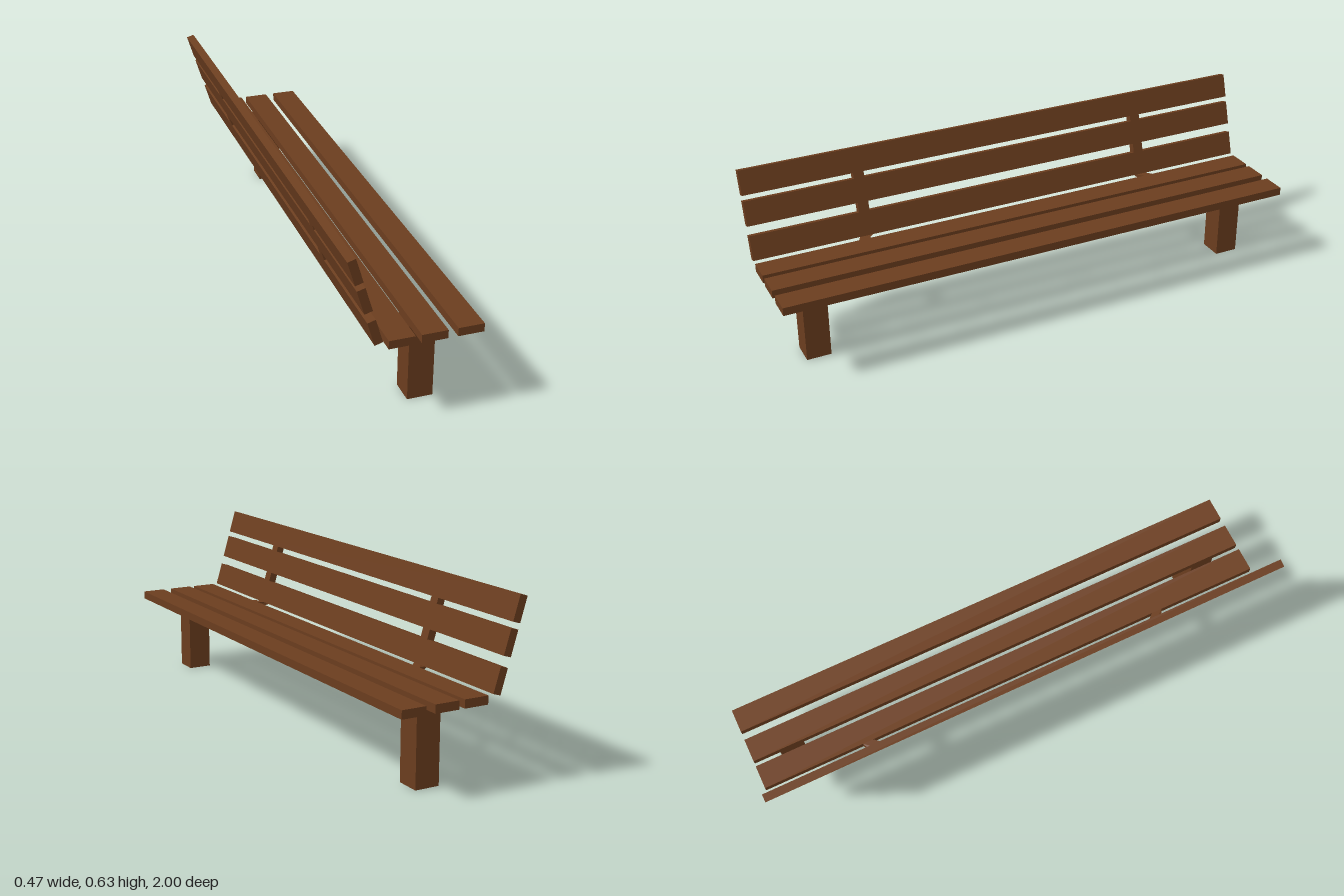
import * as THREE from 'three';

const wood = new THREE.MeshStandardMaterial({ color: 0x6b3d1e, flatShading: true });

// Extrudes an x-y cross-section (counter-clockwise corners) from z0 to z1.
function plank(name, corners, z0, z1) {
  const shape = new THREE.Shape(corners.map(([x, y]) => new THREE.Vector2(x, y)));
  const geo = new THREE.ExtrudeGeometry(shape, { depth: z1 - z0, bevelEnabled: false });
  geo.translate(0, 0, z0);
  const mesh = new THREE.Mesh(geo, wood);
  mesh.name = name;
  return mesh;
}

const rect = (x0, y0, x1, y1) => [[x0, y0], [x1, y0], [x1, y1], [x0, y1]];

// Cross-section of the leaning backrest between distances a and b up its slope.
function leaning(a, b) {
  const ux = -0.286, uy = 0.958, thick = 0.029;
  const rear = (s) => [-0.14 + ux * s, 0.305 + uy * s];
  const face = (s) => [rear(s)[0] + uy * thick, rear(s)[1] - ux * thick];
  return [rear(a), face(a), face(b), rear(b)];
}

export function createModel() {
  const bench = new THREE.Group();
  bench.name = 'bench';

  // Seat slats
  for (const x of [-0.093, 0.018, 0.142]) {
    bench.add(plank('seatSlat', rect(x, 0.282, x + 0.09, 0.312), -1, 1));
  }

  // Backrest slats
  for (const s of [0, 0.125, 0.236]) {
    bench.add(plank('backSlat', leaning(s, s + 0.09), -1, 1));
  }

  for (const side of [-1, 1]) {
    const span = (a, b) => (side > 0 ? [a, b] : [-b, -a]);

    // Square legs under the middle slat
    bench.add(plank('leg', rect(0.018, 0, 0.108, 0.282), ...span(0.81, 0.9)));

    // Short struts joining neighbouring back slats
    for (const [a, b] of [[0.09, 0.125], [0.215, 0.236]]) {
      bench.add(plank('backStrut', leaning(a, b), ...span(0.553, 0.593)));
    }

    // Link from the rear seat slat to the backrest, skewed outward at the seat
    const [rear, face] = leaning(0, 0.09);
    const link = plank('backLink', [rear, [-0.093, 0.282], [-0.093, 0.312], face], ...span(0.553, 0.593));
    const pos = link.geometry.attributes.position;
    for (let i = 0; i < pos.count; i++) {
      if (pos.getX(i) > -0.1) pos.setZ(i, pos.getZ(i) + side * 0.022);
    }
    link.geometry.computeVertexNormals();
    bench.add(link);
  }
  return bench;
}
